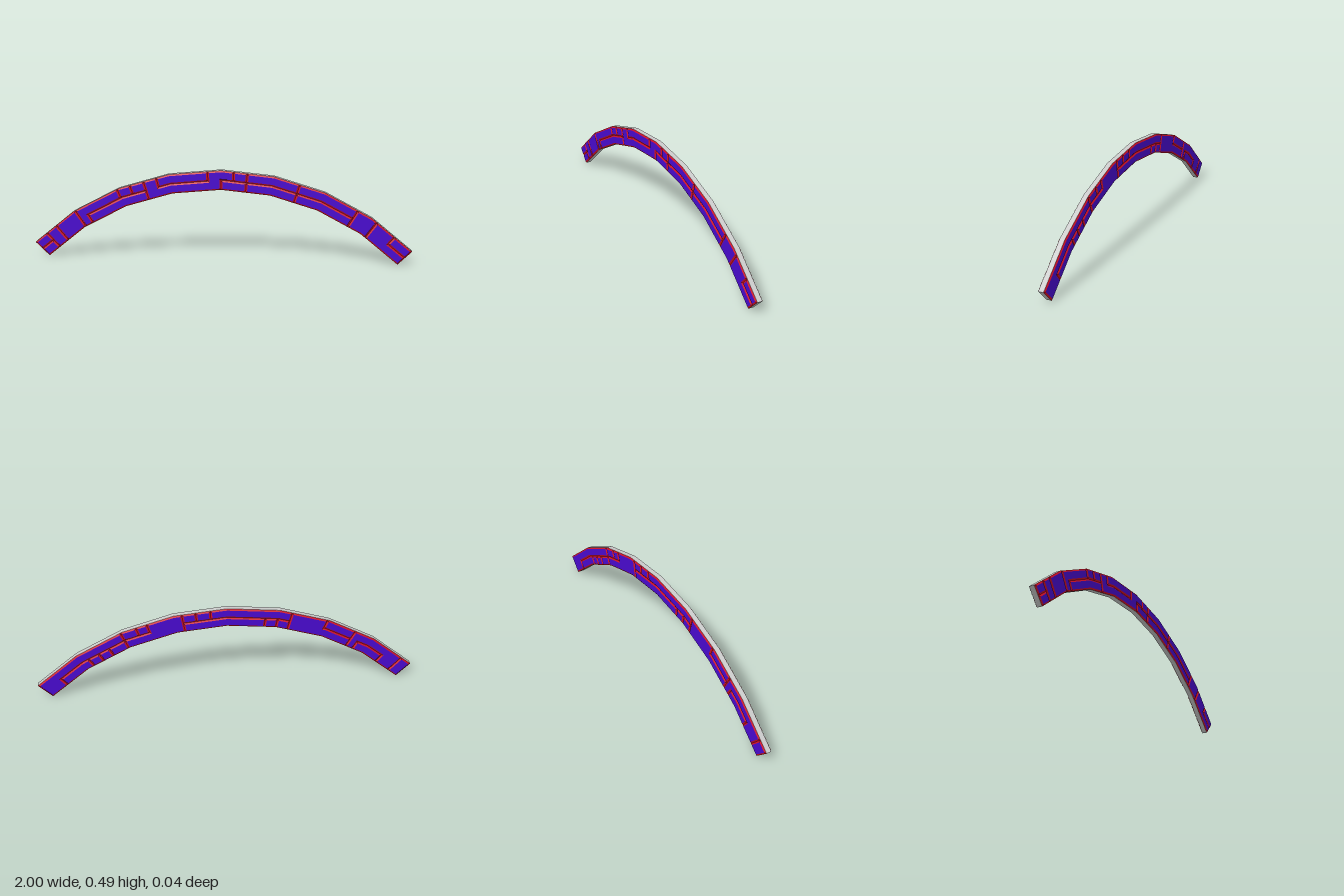
import * as THREE from 'three';

const OUTER = 1.414, INNER = 1.311, CENTRE_Y = -0.927; // arc radii and centre height
const STEP = 11.25, END = 45;                          // eight straight segments over 90 degrees
const CORE_Z = 0.014, FACE_Z = 0.019, BEVEL = 0.008;

const purple = new THREE.MeshStandardMaterial({ color: 0x4a0ad0, flatShading: true });
const red = new THREE.MeshStandardMaterial({ color: 0xd41028, flatShading: true });
const grey = new THREE.MeshStandardMaterial({ color: 0xcccccc, flatShading: true });

// Angle (degrees from the crown) and height t (0 inner, 1 outer) to a point on the faceted band
function bandPoint(angle, t) {
  const r = INNER + (OUTER - INNER) * t;
  const k = Math.min(7, Math.max(0, Math.floor((angle + END) / STEP)));
  const at = (deg) => {
    const a = THREE.MathUtils.degToRad(deg);
    return new THREE.Vector2(Math.sin(a) * r, CENTRE_Y + Math.cos(a) * r);
  };
  const a0 = k * STEP - END;
  return at(a0).lerp(at(a0 + STEP), (angle - a0) / STEP);
}

const rect = (a, b, t0 = 0, t1 = 1) => [[a, t0], [b, t0], [b, t1], [a, t1]];
const lower = (a, b) => rect(a, b, 0, 0.5);
const upper = (a, b) => rect(a, b, 0.5, 1);

// Matching outer and inset outlines, split where the band bends
function outlines(poly) {
  const n = poly.length;
  const da = THREE.MathUtils.radToDeg(BEVEL / 1.36), dt = BEVEL / (OUTER - INNER);
  const normal = (i) => {
    const p = poly[(i + n) % n], q = poly[(i + 1 + n) % n];
    return [-Math.sign(q[1] - p[1]), Math.sign(q[0] - p[0])];
  };
  const inset = poly.map((p, i) => {
    const m = normal(i - 1), k = normal(i);
    return [p[0] + (m[0] + k[0]) * da, p[1] + (m[1] + k[1]) * dt];
  });
  const rim = [], top = [];
  poly.forEach((p, i) => {
    const q = poly[(i + 1) % n], pi = inset[i], qi = inset[(i + 1) % n];
    rim.push(bandPoint(...p));
    top.push(bandPoint(...pi));
    const joints = [];
    for (let a = -END + STEP; a < END; a += STEP) {
      const inside = (u, v) => a > Math.min(u, v) + 0.01 && a < Math.max(u, v) - 0.01;
      if (inside(p[0], q[0]) && inside(pi[0], qi[0])) joints.push(a);
    }
    if (q[0] < p[0]) joints.reverse();
    for (const a of joints) {
      rim.push(bandPoint(a, p[1]));
      top.push(bandPoint(a, pi[1]));
    }
  });
  return { rim, top };
}

// Raised plates of one side: flat tops and bevelled borders
function platePanel(plates, side, name) {
  const tops = [], bevels = [];
  const tri = (list, a, b, c) => {
    const order = side > 0 ? [a, b, c] : [a, c, b];
    for (const [p, z] of order) list.push(p.x, p.y, z * side);
  };
  for (const poly of plates) {
    const { rim, top } = outlines(poly);
    for (const [a, b, c] of THREE.ShapeUtils.triangulateShape(top, [])) {
      tri(tops, [top[a], FACE_Z], [top[b], FACE_Z], [top[c], FACE_Z]);
    }
    rim.forEach((p, i) => {
      const j = (i + 1) % rim.length;
      tri(bevels, [p, CORE_Z], [rim[j], CORE_Z], [top[j], FACE_Z]);
      tri(bevels, [p, CORE_Z], [top[j], FACE_Z], [top[i], FACE_Z]);
    });
  }
  const group = new THREE.Group();
  group.name = name;
  for (const [list, material, part] of [[tops, purple, 'plateFaces'], [bevels, red, 'plateBevels']]) {
    const geometry = new THREE.BufferGeometry();
    geometry.setAttribute('position', new THREE.Float32BufferAttribute(list, 3));
    geometry.computeVertexNormals();
    const mesh = new THREE.Mesh(geometry, material);
    mesh.name = part;
    group.add(mesh);
  }
  return group;
}

// Plate layouts, listed from -x to +x, corners anticlockwise
const frontPlates = [
  lower(-45, -41.6), upper(-45, -41.6), rect(-41.6, -38.9), rect(-38.9, -33.4),
  [[-33.4, 0], [-31.4, 0], [-31.4, 0.5], [-22.9, 0.5], [-22.9, 1], [-33.4, 1]],
  lower(-31.4, -16.9), upper(-22.9, -20), upper(-20, -16.9),
  [[-16.9, 0], [0, 0], [0, 0.5], [2.7, 0.5], [2.7, 1], [-2.9, 1], [-2.9, 0.5], [-14, 0.5], [-14, 1], [-16.9, 1]],
  upper(-14, -2.9), lower(0, 5.6), upper(2.7, 5.6),
  lower(5.6, 16.9), upper(5.6, 16.9), lower(16.9, 30.4), upper(16.9, 30.4),
  rect(30.4, 35.2),
  [[35.2, 0], [45, 0], [45, 0.5], [40.1, 0.5], [40.1, 1], [35.2, 1]],
  upper(40.1, 45),
];
const backPlates = [
  rect(-45, -42.2),
  [[-42.2, 0], [-38, 0], [-38, 0.5], [-30.8, 0.5], [-30.8, 0], [-29, 0], [-29, 1], [-42.2, 1]],
  lower(-38, -30.8),
  [[-29, 0], [-14, 0], [-14, 1], [-22, 1], [-22, 0.5], [-29, 0.5]],
  upper(-29, -22),
  lower(-14, -11.2), lower(-11.2, -8.5), upper(-14, 3.5), lower(-8.5, 9.5),
  upper(3.5, 6.6), upper(6.6, 9.5),
  [[9.5, 0], [22.9, 0], [22.9, 0.5], [17.1, 0.5], [17.1, 1], [9.5, 1]],
  upper(17.1, 19.5), upper(19.5, 22.9),
  lower(22.9, 26.9), lower(26.9, 29.5), lower(29.5, 32.1), lower(32.1, 40.2),
  [[40.2, 0], [45, 0], [45, 1], [22.9, 1], [22.9, 0.5], [40.2, 0.5]],
];

export function createModel() {
  const model = new THREE.Group();
  model.name = 'archedBand';

  // Grey core between the two plated sides
  const inner = [], outer = [];
  for (let a = -END; a <= END; a += STEP) {
    inner.push(bandPoint(a, 0));
    outer.unshift(bandPoint(a, 1));
  }
  const coreGeometry = new THREE.ExtrudeGeometry(new THREE.Shape([...inner, ...outer]),
    { depth: CORE_Z * 2 - 0.001, bevelEnabled: false });
  coreGeometry.translate(0, 0, -CORE_Z + 0.0005);
  const core = new THREE.Mesh(coreGeometry, grey);
  core.name = 'core';

  model.add(core, platePanel(frontPlates, 1, 'frontPlates'), platePanel(backPlates, -1, 'backPlates'));
  return model;
}
